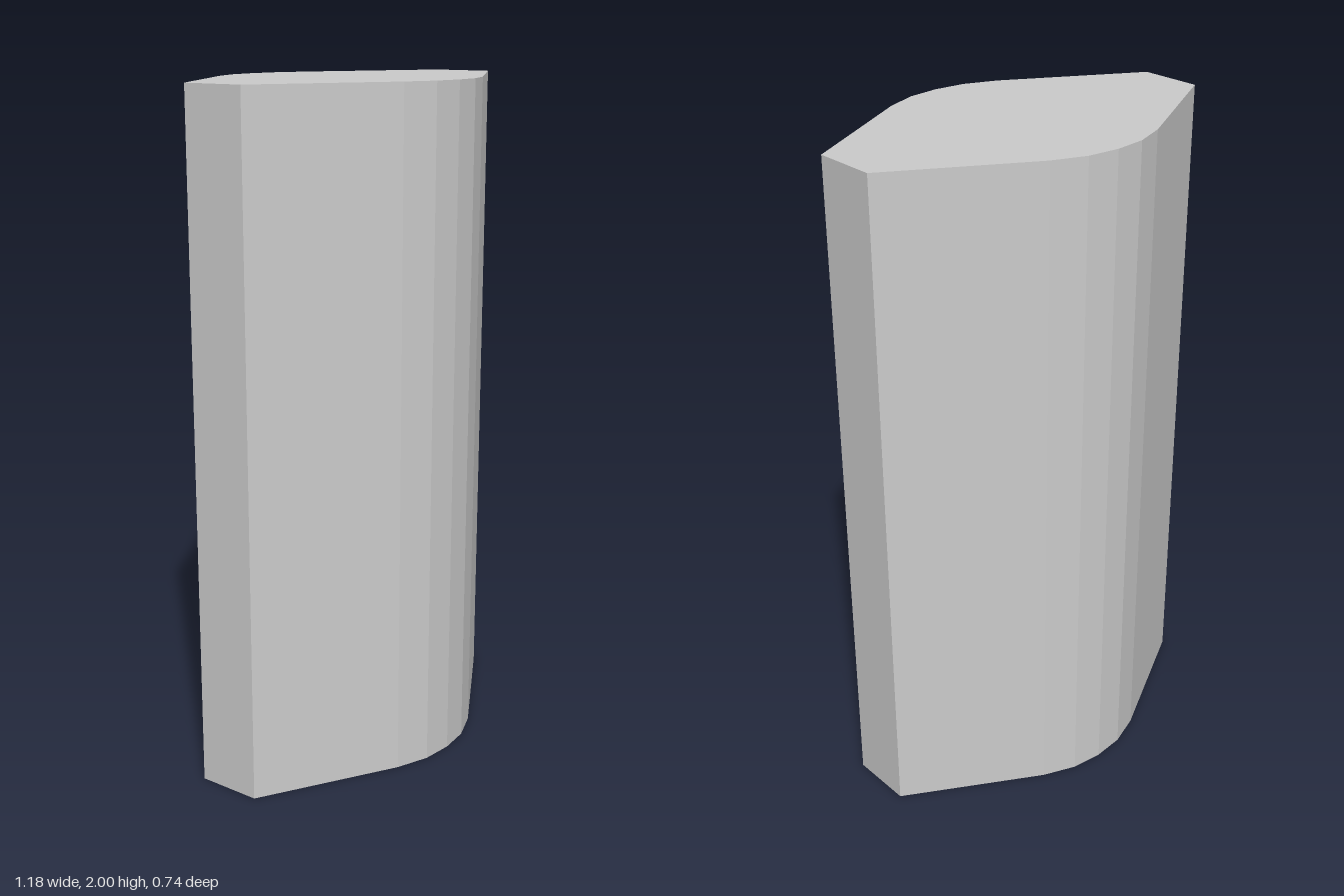
import * as THREE from 'three';

export function createModel() {
  const group = new THREE.Group();
  group.name = 'prism';

  // One quarter of the outline: flat end, straight flank, faceted crown
  const quarter = [[0.59, 0.096], [0.195, 0.322], [0.096, 0.36], [0, 0.37]];
  const half = [...quarter, ...quarter.slice(0, -1).reverse().map(([x, z]) => [-x, z])];
  const outline = [...half, ...half.map(([x, z]) => [-x, -z])];
  const shape = new THREE.Shape(outline.map(([x, z]) => new THREE.Vector2(x, z)));

  // Upright column standing on the ground
  const geometry = new THREE.ExtrudeGeometry(shape, { depth: 2, bevelEnabled: false });
  geometry.rotateX(-Math.PI / 2);
  const material = new THREE.MeshStandardMaterial({ color: 0xcccccc, flatShading: true });
  const column = new THREE.Mesh(geometry, material);
  column.name = 'column';
  group.add(column);

  return group;
}
